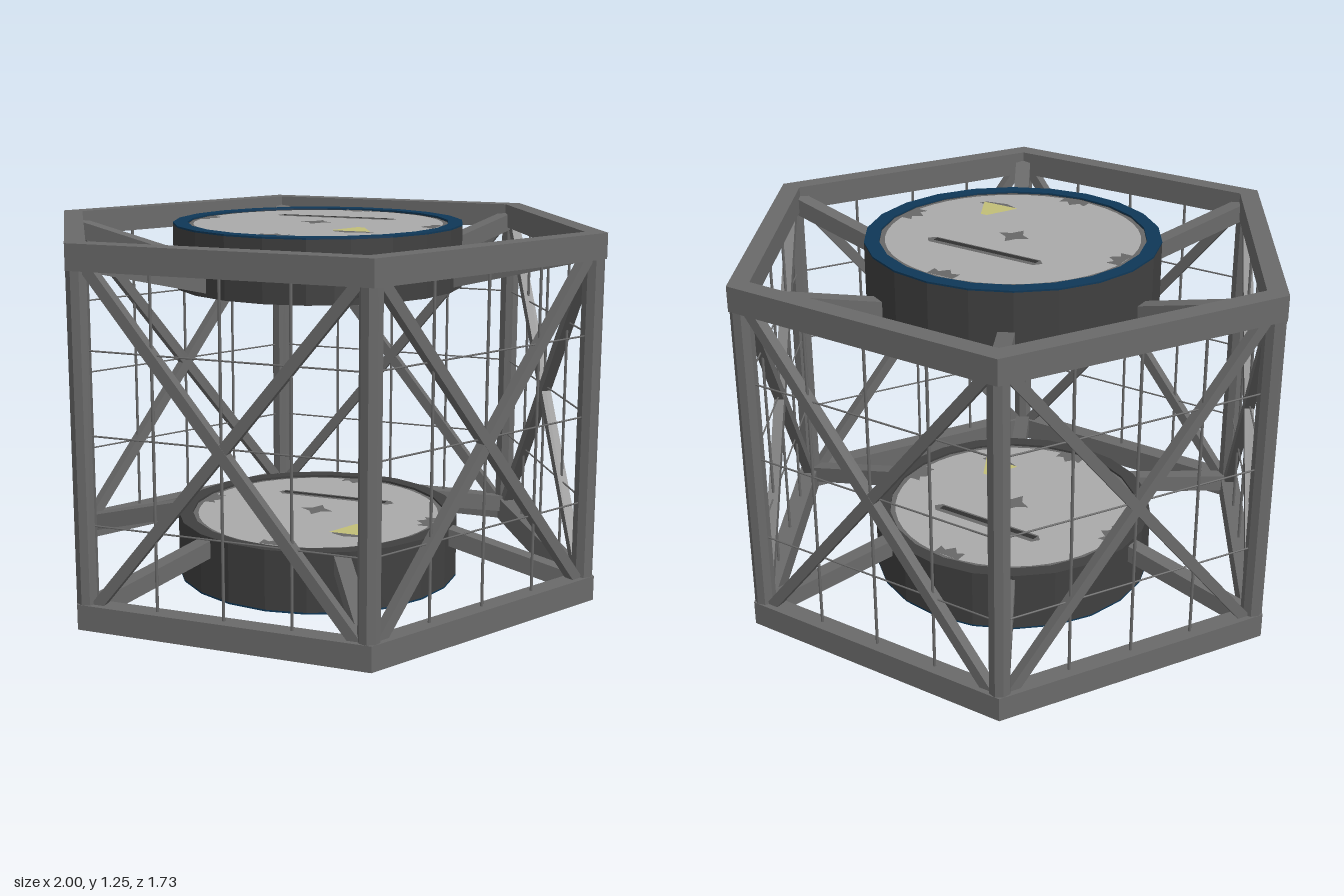
import * as THREE from 'three';

const H = 1.25;        // overall height
const BAND = 0.085;    // hexagonal ring height
const DRUM = 0.215;    // docking drum height
const SIDES = 22;      // facets round a drum

const mat = (name, color) => {
  const m = new THREE.MeshStandardMaterial({ color });
  m.name = name;
  return m;
};

export function createModel() {
  const frame = mat('frame grey', 0x6a6a6a);
  const dark = mat('drum charcoal', 0x404040);
  const blue = mat('rim blue', 0x0f3858);
  const light = mat('hatch light grey', 0xaaaaaa);
  const mark = mat('hatch mark grey', 0x686868);
  const slot = mat('slot black', 0x303030);
  const yellow = mat('marker yellow', 0xc2be78);

  const model = new THREE.Group();
  model.name = 'hexagonalTruss';

  const add = (parent, name, geo, material, x = 0, y = 0, z = 0) => {
    const mesh = new THREE.Mesh(geo, material);
    mesh.name = name;
    mesh.position.set(x, y, z);
    parent.add(mesh);
    return mesh;
  };
  const group = (parent, name) => {
    const g = new THREE.Group();
    g.name = name;
    parent.add(g);
    return g;
  };
  // Faceted hollow ring with a rectangular section
  const ring = (inner, outer, y0, y1, sides) => {
    const pts = [[inner, y0], [outer, y0], [outer, y1], [inner, y1], [inner, y0]]
      .map(([r, y]) => new THREE.Vector2(r, y));
    const geo = new THREE.LatheGeometry(pts, sides).toNonIndexed();
    geo.computeVertexNormals();
    return geo;
  };
  // Flat plate from [x, z] corners, facing up
  const plate = (corners) => {
    const shape = new THREE.Shape(corners.map(([x, z]) => new THREE.Vector2(x, -z)));
    return new THREE.ShapeGeometry(shape).rotateX(-Math.PI / 2);
  };
  const disc = (r, n) => new THREE.CircleGeometry(r, n).rotateX(-Math.PI / 2);

  // Top and bottom hexagonal rings
  for (const [name, y] of [['bottomRing', 0], ['topRing', H - BAND]]) {
    add(model, name, ring(0.924, 1, y, y + BAND, 6).rotateY(Math.PI / 6), frame);
  }

  // Corner posts and sloping struts to the drums
  for (let k = 0; k < 6; k++) {
    const corner = group(model, 'corner');
    corner.rotation.y = Math.PI / 6 + k * Math.PI / 3;
    const post = new THREE.CylinderGeometry(0.036, 0.036, H - 2 * BAND + 0.02, 8).toNonIndexed();
    post.rotateY(Math.PI / 8);
    post.computeVertexNormals();
    add(corner, 'cornerPost', post, frame, 0, H / 2, 0.958);
    for (const s of [1, -1]) {
      const inner = [0.47, 0.448], outer = [0.94, 0.565]; // radius, height from the middle
      const dz = outer[0] - inner[0], dy = outer[1] - inner[1];
      const strut = add(corner, 'drumStrut', new THREE.BoxGeometry(0.055, 0.06, Math.hypot(dz, dy)), frame,
        0, H / 2 + s * (inner[1] + outer[1]) / 2, (inner[0] + outer[0]) / 2);
      strut.rotation.x = -s * Math.atan2(dy, dz);
    }
  }

  // Side panels: crossed braces and a net of thin wires
  for (let k = 0; k < 6; k++) {
    const panel = group(model, 'sidePanel');
    panel.rotation.y = k * Math.PI / 3;
    const w = 0.89, h = H - 2 * BAND + 0.02;
    for (const s of [1, -1]) {
      const brace = add(panel, 'crossBrace',
        new THREE.BoxGeometry(0.036, Math.hypot(w, h), s > 0 ? 0.036 : 0.034), frame, 0, H / 2, 0.83);
      brace.rotation.z = s * Math.atan2(w, h);
    }
    for (const x of [-0.23, 0, 0.23]) {
      add(panel, 'verticalWire', new THREE.CylinderGeometry(0.005, 0.005, h, 6), frame, x, H / 2, 0.83);
    }
    for (const y of [0.345, 0.64, 0.913]) {
      add(panel, 'horizontalWire', new THREE.CylinderGeometry(0.003, 0.003, 0.94, 6).rotateZ(Math.PI / 2),
        frame, 0, y, 0.83);
    }
  }

  // Hatch face with painted marks, facing up
  const hatch = (parent, y, flipped) => {
    const g = group(parent, 'hatchFace');
    g.position.y = y;
    if (flipped) g.rotation.x = Math.PI;
    add(g, 'hatchBorder', disc(0.46, 44), mark);
    add(g, 'hatchPlate', disc(0.43, 44), light, 0, 0.002, 0);
    for (let i = 0; i < 4; i++) {
      const tab = add(g, 'edgeMark', plate([[-0.05, -0.43], [-0.05, -0.385], [-0.025, -0.4], [0, -0.37],
        [0.025, -0.4], [0.05, -0.385], [0.05, -0.43]].reverse()), mark, 0, 0.004, 0);
      tab.rotation.y = i * Math.PI / 2;
    }
    const star = [];
    for (let i = 0; i < 8; i++) {
      const r = i % 2 ? 0.03 : 0.06, a = i * Math.PI / 4;
      star.push([r * Math.cos(a), r * Math.sin(a)]);
    }
    add(g, 'centreMark', plate(star), mark, -0.005, 0.004, 0);
    add(g, 'slotBorder', plate([[-0.22, -0.17], [-0.2, -0.195], [0.21, -0.195], [0.23, -0.17],
      [0.21, -0.147], [-0.2, -0.147]]), mark, 0, 0.004, 0);
    add(g, 'slot', plate([[-0.2, -0.18], [0.2, -0.18], [0.2, -0.157], [-0.2, -0.157]]), slot, 0, 0.006, 0);
    add(g, 'triangleShade', plate([[0.14, 0.22], [0.28, 0.22], [0.27, 0.245], [0.19, 0.26], [0.14, 0.24]]),
      mark, 0, 0.004, 0);
    add(g, 'triangleMarker', plate([[0.185, 0.12], [0.21, 0.12], [0.27, 0.235], [0.13, 0.235]]),
      yellow, 0, 0.006, 0);
  };

  // Drums, each with a blue rim on its outward end
  for (const top of [false, true]) {
    const drum = group(model, top ? 'topDrum' : 'bottomDrum');
    const y0 = top ? H - DRUM : 0, y1 = y0 + DRUM, rim = 0.006;
    add(drum, 'drumWall', ring(0.45, 0.5, top ? y0 : rim, top ? H - rim : y1, SIDES), dark);
    add(drum, 'blueRim', ring(0.45, 0.5, top ? H - rim : 0, top ? H : rim, SIDES), blue);
    hatch(drum, y1 - 0.008, false);
    hatch(drum, y0 + 0.008, true);
  }
  return model;
}
